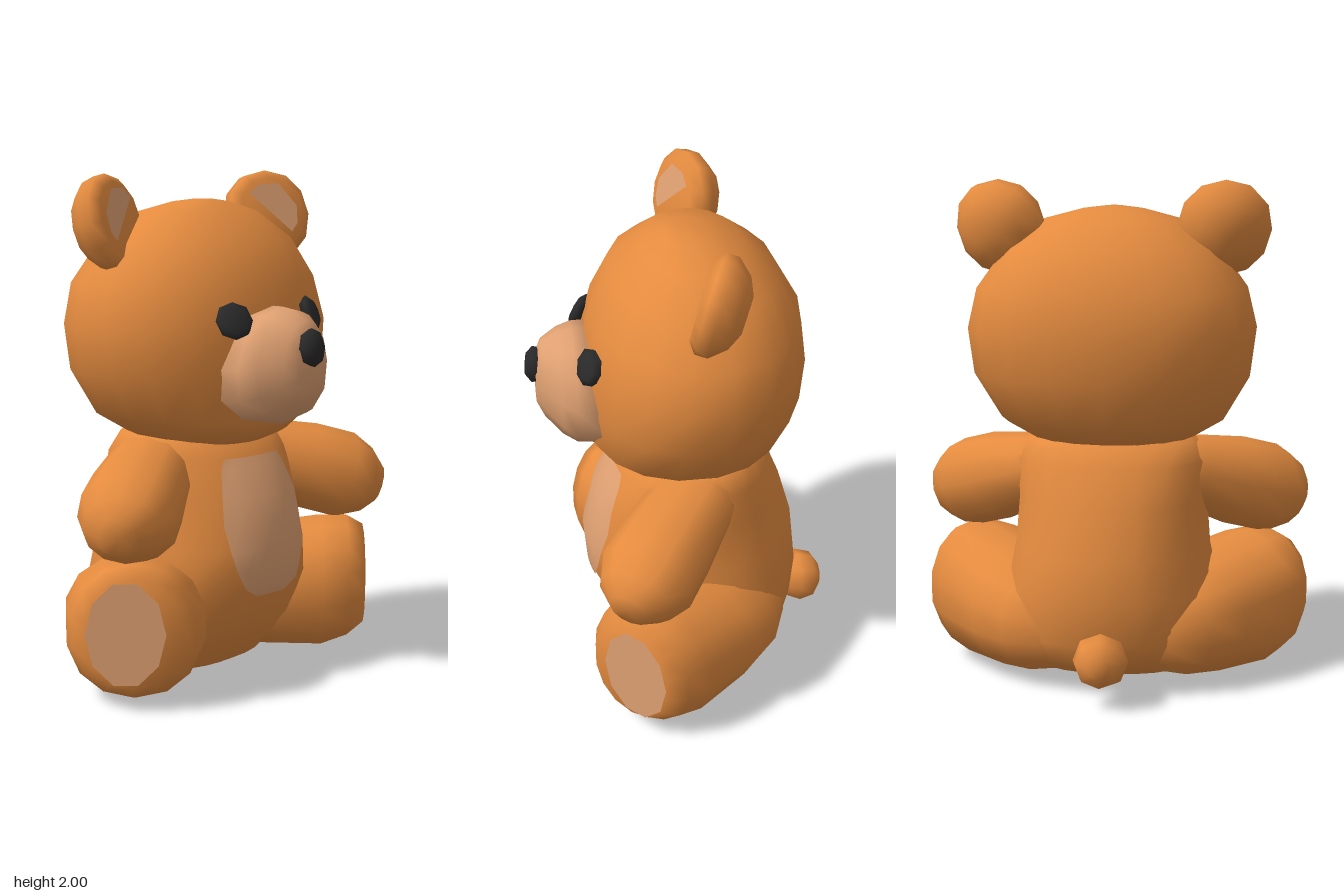
import * as THREE from 'three';

const mat = (name, color) => {
  const m = new THREE.MeshStandardMaterial({ color });
  m.name = name;
  return m;
};

const P = 2.15; // roundness of the superellipse cross-sections

// Closed loft along +y from rings [y, halfWidth, front, back]
function loft(rings, n) {
  const pos = [], idx = [];
  for (const [y, rx, front, back] of rings) {
    const c = (front + back) / 2, rz = (front - back) / 2;
    for (let j = 0; j < n; j++) {
      const a = (j / n) * Math.PI * 2, s = Math.sin(a), k = Math.cos(a);
      pos.push(rx * Math.sign(s) * Math.abs(s) ** (2 / P), y, c + rz * Math.sign(k) * Math.abs(k) ** (2 / P));
    }
  }
  const last = rings.length - 1, bottom = rings.length * n, top = bottom + 1;
  for (const r of [rings[0], rings[last]]) pos.push(0, r[0], (r[2] + r[3]) / 2);
  for (let j = 0; j < n; j++) {
    const k = (j + 1) % n;
    for (let i = 0; i < last; i++) {
      const a = i * n + j, b = i * n + k;
      idx.push(a, b, b + n, a, b + n, a + n);
    }
    idx.push(bottom, k, j, top, last * n + j, last * n + k);
  }
  return finish(pos, idx);
}

function finish(pos, idx) {
  const g = new THREE.BufferGeometry();
  g.setAttribute('position', new THREE.Float32BufferAttribute(pos, 3));
  g.setIndex(idx);
  g.computeVertexNormals();
  return g;
}

// Loft running along +z, so it can be aimed with lookAt; rings [z, rx, down, -up]
const loftZ = (rings, n) => loft(rings, n).rotateX(Math.PI / 2);
const round = (list) => list.map(([t, rx, ry = rx]) => [t, rx, ry, -ry]);

const BODY = [
  [0.01, 0.2, 0.08, -0.12], [0.04, 0.3, 0.14, -0.23], [0.12, 0.39, 0.215, -0.41],
  [0.22, 0.43, 0.295, -0.47], [0.4, 0.43, 0.383, -0.488], [0.55, 0.395, 0.395, -0.472],
  [0.75, 0.38, 0.345, -0.415], [0.9, 0.385, 0.265, -0.355], [0.98, 0.34, 0.2, -0.3], [1.02, 0.22, 0.12, -0.22],
];

const HEAD = [
  [0.95, 0.2, 0.24, -0.15], [0.985, 0.33, 0.31, -0.29], [1.06, 0.45, 0.37, -0.4], [1.24, 0.555, 0.39, -0.47],
  [1.42, 0.578, 0.39, -0.485], [1.58, 0.54, 0.35, -0.465], [1.74, 0.425, 0.275, -0.375],
  [1.85, 0.275, 0.14, -0.24], [1.89, 0.12, 0.06, -0.12], [1.9, 0.03, 0.03, -0.05],
];

// Front surface of the body at a given x and y
function bodyFront(x, y) {
  const i = BODY.findIndex((r) => r[0] >= y);
  const [a, b] = [BODY[i - 1], BODY[i]], t = (y - a[0]) / (b[0] - a[0]);
  const [, rx, f, k] = a.map((v, q) => v + (b[q] - v) * t);
  return (f + k) / 2 + ((f - k) / 2) * (1 - Math.abs(x / rx) ** P) ** (1 / P);
}

// Thin patch that follows the belly; rows [y, halfWidth]
function bellyPatch() {
  const rows = [[0.36, 0.08], [0.4, 0.145], [0.47, 0.18], [0.55, 0.205], [0.65, 0.215], [0.75, 0.205], [0.86, 0.175], [0.9, 0.15]];
  const cols = 8, pos = [], idx = [];
  rows.forEach(([y, w], i) => {
    for (let j = 0; j <= cols; j++) {
      const x = w * ((2 * j) / cols - 1), a = i * (cols + 1) + j, b = a + cols + 1;
      pos.push(x, y, bodyFront(x, y) + 0.007);
      if (i < rows.length - 1 && j < cols) idx.push(a, a + 1, b + 1, a, b + 1, b);
    }
  });
  return finish(pos, idx);
}

// Muzzle, narrowing quickly from side to side and wider towards the chin
function muzzle() {
  const g = loftZ([[-0.06, 0.262, 0.23, -0.23], [0.05, 0.25, 0.225, -0.23], [0.105, 0.2, 0.2, -0.22],
    [0.17, 0.125, 0.135, -0.185], [0.198, 0.07, 0.08, -0.12]], 12);
  const p = g.attributes.position;
  for (let i = 0; i < p.count; i++) p.setX(i, p.getX(i) * (1 - 0.6 * p.getY(i)));
  g.computeVertexNormals();
  return g;
}

export function createModel() {
  const group = new THREE.Group();
  group.name = 'teddyBear';
  const fur = mat('orangeBrownFur', 0xe48b3f);
  const tan = mat('lightTan', 0xe0a172);
  const black = mat('black', 0x2a2a2a);

  // Adds a part at p with its local z aimed along dir
  const add = (name, geo, material, p = [0, 0, 0], dir = [0, 0, 1]) => {
    const m = new THREE.Mesh(geo, material);
    m.name = name;
    m.position.set(...p);
    m.lookAt(p[0] + dir[0], p[1] + dir[1], p[2] + dir[2]);
    group.add(m);
  };

  add('body', loft(BODY, 20), fur);
  add('head', loft(HEAD, 18), fur);
  add('bellyPatch', bellyPatch(), tan);
  add('tail', loftZ(round([[-0.05, 0.08], [0.02, 0.108], [0.08, 0.092], [0.11, 0.045]]), 8),
    fur, [0, 0.187, -0.5], [0, 0, -1]);
  add('muzzle', muzzle(), tan, [0, 1.27, 0.37]);
  add('nose', loftZ(round([[-0.04, 0.06, 0.065], [0, 0.066, 0.074], [0.025, 0.04, 0.045]]), 8),
    black, [0, 1.355, 0.578], [0, 0.12, 1]);

  for (const s of [1, -1]) {
    const side = s > 0 ? 'left' : 'right';

    // Eyes
    add(side + 'Eye', loftZ(round([[-0.025, 0.062], [0, 0.074], [0.016, 0.052]]), 8),
      black, [s * 0.219, 1.457, 0.374], [s * 0.45, 0.38, 0.85]);

    // Ears with an inner patch that is straight along the head side
    const ear = [s * 0.445, 1.813, -0.092], earDir = [s * -0.32, 0.24, 0.92];
    add(side + 'Ear', loftZ(round([[-0.1, 0.07], [-0.07, 0.135], [-0.01, 0.187], [0.04, 0.187], [0.07, 0.15]]), 12),
      fur, ear, earDir);
    const inner = [[-0.1, 0.085], [-0.05, 0.122], [0.04, 0.122], [0.115, 0.03], [0.11, -0.045], [0.08, -0.08]];
    const innerShape = new THREE.Shape(inner.map(([x, y]) => new THREE.Vector2(s * x, y)));
    add(side + 'InnerEar', new THREE.ShapeGeometry(innerShape).translate(0, 0, 0.076), tan, ear, earDir);

    // Arms reach outward, forward and down
    add(side + 'Arm', loftZ(round([[-0.55, 0.12, 0.1], [-0.36, 0.175, 0.145], [-0.12, 0.192, 0.182], [0.05, 0.197, 0.183],
      [0.145, 0.155, 0.14], [0.208, 0.08]]), 12), fur, [s * 0.575, 0.745, 0.18], [s * 0.78, -0.27, 0.54]);

    // Legs splay diagonally from wide hips, with a pad set towards the outside of each sole
    const foot = [s * 0.663, 0.3, 0.281], legDir = [s, 0, 1];
    add(side + 'Leg', loftZ([[-0.78, 0.2, 0.21, -0.1], [-0.62, 0.275, 0.265, -0.17], [-0.45, 0.293, 0.285, -0.215],
      [-0.18, 0.268, 0.297, -0.258], [-0.07, 0.237, 0.26, -0.26], [0, 0.182, 0.205, -0.22]], 14), fur, foot, legDir);
    add(side + 'FootPad', new THREE.CircleGeometry(1, 10).scale(0.153, 0.205, 1).translate(s * 0.027, 0.007, 0.006),
      tan, foot, legDir);
  }
  return group;
}
